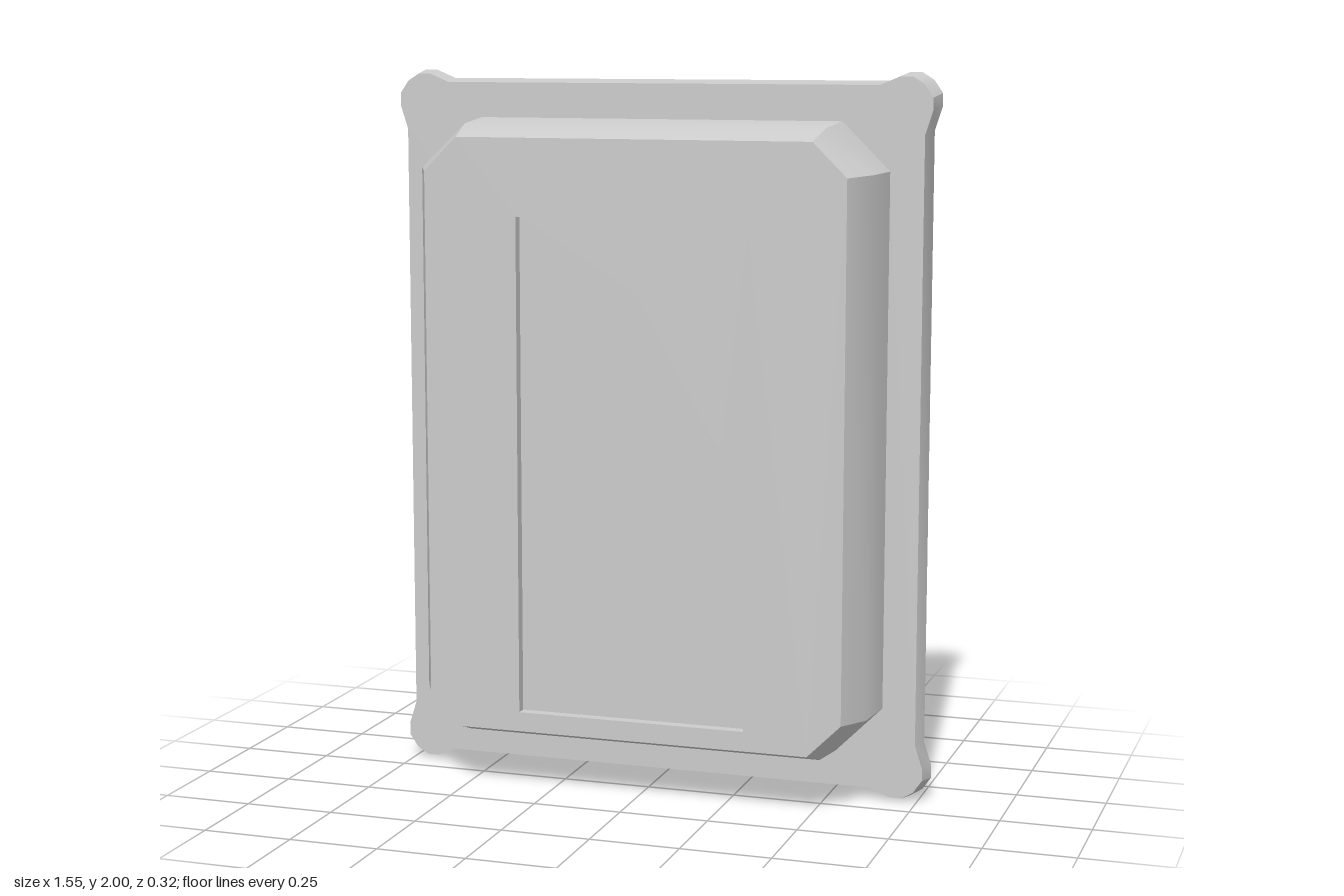
import * as THREE from 'three';
import { toCreasedNormals } from 'three/addons/utils/BufferGeometryUtils.js';

const CY = 1; // height of the tray's middle
const material = new THREE.MeshStandardMaterial({ color: 0xcccccc, side: THREE.DoubleSide });

// Mirrors a quarter outline (right side to top) into a full counter-clockwise ring
function mirrorQuarter(q) {
  const r = [...q].reverse();
  return [
    ...q,
    ...r.map(([x, y]) => [-x, y]),
    ...q.map(([x, y]) => [-x, -y]),
    ...r.map(([x, y]) => [x, -y]),
  ].map(([x, y]) => [x, y + CY]);
}

// Wall joining rings of equal point count, each { pts, z }
function loft(name, rings) {
  const n = rings[0].pts.length;
  const pos = [], index = [];
  rings.forEach(({ pts, z }) => pts.forEach(([x, y]) => pos.push(x, y, z)));
  for (let k = 0; k < rings.length - 1; k++) {
    for (let i = 0; i < n; i++) {
      const a = k * n + i, b = k * n + (i + 1) % n;
      index.push(a, b, b + n, a, b + n, a + n);
    }
  }
  const geo = new THREE.BufferGeometry();
  geo.setAttribute('position', new THREE.Float32BufferAttribute(pos, 3));
  geo.setIndex(index);
  const mesh = new THREE.Mesh(toCreasedNormals(geo, THREE.MathUtils.degToRad(32)), material);
  mesh.name = name;
  return mesh;
}

// Flat sheet facing +z, with an optional hole
function sheet(name, z, outline, hole) {
  const toVectors = (pts) => pts.map(([x, y]) => new THREE.Vector2(x, y));
  const shape = new THREE.Shape(toVectors(outline));
  if (hole) shape.holes.push(new THREE.Path(toVectors(hole)));
  const mesh = new THREE.Mesh(new THREE.ShapeGeometry(shape), material);
  mesh.name = name;
  mesh.position.z = z;
  return mesh;
}

export function createModel() {
  const group = new THREE.Group();
  group.name = 'tray';

  const BACK = -0.158, FLANGE = -0.083, FRONT = 0.158;
  const FLOOR = FRONT - 0.03, RAISED = FRONT - 0.003;

  // Flange outline with a rounded lobe at each corner
  const lobe = [[0.745, 0.835], [0.766, 0.9], [0.766, 0.935], [0.742, 0.97],
    [0.71, 0.99], [0.675, 0.99], [0.62, 0.967]];
  const flangeRing = mirrorQuarter(lobe);
  const skirtRing = mirrorQuarter(lobe.map(([x, y]) => [x + 0.01, y + 0.01]));

  // Chamfered rectangles of the tray body, back to front
  const baseRing = mirrorQuarter([[0.652, 0.738], [0.52, 0.87]]);
  const midRing = mirrorQuarter([[0.641, 0.736], [0.512, 0.858]]);
  const frontRing = mirrorQuarter([[0.594, 0.732], [0.5, 0.825]]);

  // Recessed panel and raised triangle
  const panel = [[0.322, 0.23], [0.322, 1.612], [-0.328, 1.612], [-0.328, 0.23]];
  const triangleBase = [[0.245, 0.988], [0, 1.416], [-0.252, 0.988]];
  const triangleTop = [[0.239, 0.992], [0, 1.408], [-0.246, 0.992]];

  group.add(
    loft('skirt', [{ pts: skirtRing, z: BACK }, { pts: flangeRing, z: FLANGE }]),
    sheet('flange', FLANGE, flangeRing, baseRing),
    loft('trayWall', [
      { pts: baseRing, z: FLANGE },
      { pts: midRing, z: 0.062 },
      { pts: frontRing, z: FRONT },
    ]),
    sheet('frontFace', FRONT, frontRing, panel),
    loft('panelWall', [{ pts: panel, z: FRONT }, { pts: panel, z: FLOOR }]),
    sheet('panelFloor', FLOOR, panel, triangleBase),
    loft('triangleWall', [{ pts: triangleBase, z: FLOOR }, { pts: triangleTop, z: RAISED }]),
    sheet('triangleFace', RAISED, triangleTop),
  );
  return group;
}
